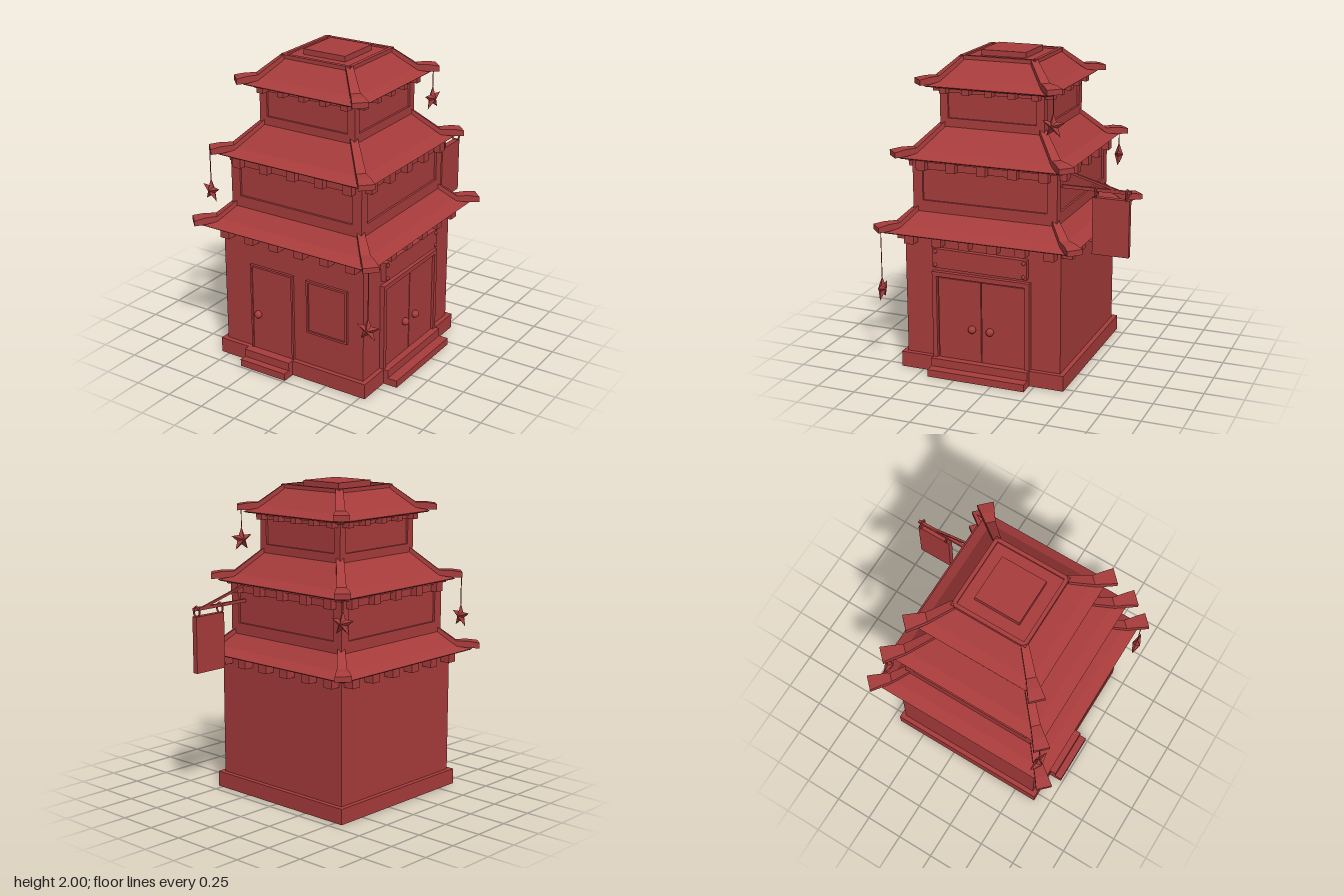
import * as THREE from 'three';

const mat = new THREE.MeshStandardMaterial({ color: 0xa83c3c, flatShading: true });
const smooth = new THREE.MeshStandardMaterial({ color: 0xa83c3c });

function add(parent, name, geo, x = 0, y = 0, z = 0, m = mat) {
  const mesh = new THREE.Mesh(geo, m);
  mesh.name = name;
  mesh.position.set(x, y, z);
  parent.add(mesh);
  return mesh;
}

// Box given by its min and max on each axis
function box(parent, name, x0, x1, y0, y1, z0, z1) {
  return add(parent, name, new THREE.BoxGeometry(x1 - x0, y1 - y0, z1 - z0),
    (x0 + x1) / 2, (y0 + y1) / 2, (z0 + z1) / 2);
}

function group(parent, name) {
  const g = new THREE.Group();
  g.name = name;
  parent.add(g);
  return g;
}

// Closed solid through rings of points, counter-clockwise seen from the far end
function loft(rings) {
  const n = rings[0].length, pos = [];
  const tri = (...p) => p.forEach(q => pos.push(...q));
  for (let k = 0; k < rings.length - 1; k++) {
    const a = rings[k], b = rings[k + 1];
    for (let i = 0; i < n; i++) {
      const j = (i + 1) % n;
      tri(a[i], a[j], b[j]);
      tri(a[i], b[j], b[i]);
    }
  }
  const s = rings[0], e = rings[rings.length - 1];
  for (let i = 1; i < n - 1; i++) {
    tri(s[0], s[i + 1], s[i]);
    tri(e[0], e[i], e[i + 1]);
  }
  const geo = new THREE.BufferGeometry();
  geo.setAttribute('position', new THREE.Float32BufferAttribute(pos, 3));
  geo.computeVertexNormals();
  return geo;
}

// Curved hip roof with four upturned corner ridges; profile is [half width, y] from eave to top
function roof(parent, profile) {
  const g = group(parent, 'roof');
  const [[e, y0], crease, top] = profile;
  const square = (h, y) => [[h, y, h], [h, y, -h], [-h, y, -h], [-h, y, h]];
  add(g, 'roofSlopes', loft([[e - 0.01, y0 - 0.008], [e, y0], crease, top].map(p => square(...p))));
  // [distance, bottom y, width, height]
  const path = [
    [top[0], top[1] - 0.02, 0.045, 0.032],
    [crease[0], crease[1] - 0.012, 0.06, 0.035],
    [e - 0.02, y0 + 0.012, 0.08, 0.045],
    [e + 0.028, y0 + 0.012, 0.1, 0.034],
  ];
  const ridge = loft(path.map(([d, y, w, h]) => {
    const s = w / 2 / Math.SQRT2;
    return [[d - s, y, d + s], [d + s, y, d - s], [d + s, y + h, d - s], [d - s, y + h, d + s]];
  }));
  for (let i = 0; i < 4; i++) add(g, 'cornerRidge', ridge).rotation.y = i * Math.PI / 2;
}

// Blocks and beam below an eave on all four sides
function brackets(parent, wall, outer, y0, y1, count, span, width) {
  const g = group(parent, 'eaveBrackets');
  box(g, 'eaveBeam', -wall - 0.02, wall + 0.02, y1 - 0.012, y1 + 0.01, -wall - 0.02, wall + 0.02);
  for (let s = 0; s < 4; s++) {
    const side = group(g, 'bracketRow');
    side.rotation.y = s * Math.PI / 2;
    for (let i = 0; i < count; i++) {
      const x = -span + 2 * span * i / (count - 1);
      box(side, 'bracket', x - width / 2, x + width / 2, y0, y1 + 0.01, wall - 0.03, outer);
    }
  }
}

// Upper storey: core with a shallow raised frame on each side
function storey(parent, h, y0, y1, frameLow, frameHigh, border) {
  const g = group(parent, 'upperStorey'), c = h - 0.014;
  box(g, 'wallCore', -c, c, y0, y1, -c, c);
  box(g, 'bottomRail', -h, h, y0, frameLow, -h, h);
  box(g, 'topRail', -h, h, frameHigh, y1, -h, h);
  for (const sx of [-1, 1]) for (const sz of [-1, 1]) {
    const m = h - border / 2;
    add(g, 'cornerPost', new THREE.BoxGeometry(border, frameHigh - frameLow, border),
      sx * m, (frameLow + frameHigh) / 2, sz * m);
  }
}

// Rectangular frame with a recessed panel, facing +z
function framedPanel(parent, name, x0, x1, y0, y1, z0, frameZ, panelZ, b, bottom = true) {
  const g = group(parent, name);
  box(g, 'frameSide', x0, x0 + b, y0, y1, z0, frameZ);
  box(g, 'frameSide', x1 - b, x1, y0, y1, z0, frameZ);
  box(g, 'frameTop', x0 + b, x1 - b, y1 - b, y1, z0, frameZ);
  if (bottom) box(g, 'frameBottom', x0 + b, x1 - b, y0, y0 + b, z0, frameZ);
  box(g, 'panel', x0 + b, x1 - b, y0, y1 - b, z0, panelZ);
  return g;
}

const knob = (parent, x, y, z) => add(parent, 'knob', new THREE.SphereGeometry(0.025, 16, 12), x, y, z, smooth);

// Faceted five-pointed star
function starGeometry(r, depth) {
  const pos = [], p = [];
  for (let i = 0; i < 10; i++) {
    const a = Math.PI / 2 + i * Math.PI / 5, q = i % 2 ? r * 0.42 : r;
    p.push([q * Math.cos(a), q * Math.sin(a), 0]);
  }
  for (let i = 0; i < 10; i++) {
    const a = p[i], b = p[(i + 1) % 10];
    pos.push(0, 0, depth, ...a, ...b, 0, 0, -depth, ...b, ...a);
  }
  const geo = new THREE.BufferGeometry();
  geo.setAttribute('position', new THREE.Float32BufferAttribute(pos, 3));
  geo.computeVertexNormals();
  return geo;
}

export function createModel() {
  const model = new THREE.Group();
  model.name = 'tieredShop';
  const b = group(model, 'building');
  b.position.set(-0.01, 0, 0.105);

  // Ground floor and plinth
  box(b, 'plinth', -0.545, 0.545, 0, 0.1, -0.545, 0.545);
  box(b, 'groundFloor', -0.514, 0.514, 0.1, 0.91, -0.514, 0.514);

  // Upper floors, eaves and roofs
  storey(b, 0.473, 0.95, 1.37, 1.1, 1.3, 0.065);
  storey(b, 0.341, 1.45, 1.81, 1.6, 1.76, 0.052);
  brackets(b, 0.514, 0.58, 0.84, 0.9, 6, 0.46, 0.065);
  brackets(b, 0.473, 0.517, 1.3, 1.36, 5, 0.4, 0.06);
  brackets(b, 0.341, 0.394, 1.76, 1.795, 5, 0.3, 0.045);
  roof(b, [[0.62, 0.91], [0.545, 0.945], [0.45, 1.055]]);
  roof(b, [[0.535, 1.372], [0.46, 1.407], [0.32, 1.57]]);
  roof(b, [[0.415, 1.805], [0.35, 1.84], [0.235, 1.965]]);

  // Rim and cap on the top roof
  for (let i = 0; i < 4; i++) {
    const side = group(b, 'topRim');
    side.rotation.y = i * Math.PI / 2;
    box(side, 'rimBar', -0.247, 0.222, 1.95, 1.976, 0.222, 0.247);
  }
  box(b, 'roofCap', -0.148, 0.148, 1.95, 2, -0.148, 0.148);

  // Front door, window and steps
  framedPanel(b, 'frontDoor', -0.31, 0.01, 0.1, 0.68, 0.5, 0.531, 0.524, 0.013, false);
  knob(b, -0.255, 0.345, 0.53);
  framedPanel(b, 'window', 0.11, 0.405, 0.325, 0.68, 0.5, 0.531, 0.52, 0.014);
  box(b, 'lowerStep', -0.33, 0.01, 0, 0.047, 0.5, 0.631);
  box(b, 'upperStep', -0.33, 0.01, 0.047, 0.1, 0.5, 0.584);

  // Double door and name board on the left side
  const side = group(b, 'sideEntrance');
  side.rotation.y = Math.PI / 2;
  framedPanel(side, 'doubleDoor', -0.325, 0.322, 0.1, 0.668, 0.5, 0.544, 0.52, 0.03, false);
  for (const s of [-1, 1]) {
    box(side, 'doorLeaf', s < 0 ? -0.287 : 0.003, s < 0 ? -0.003 : 0.287, 0.1, 0.628, 0.5, 0.53);
    knob(side, s * 0.06, 0.315, 0.54);
  }
  box(side, 'lowerStep', -0.325, 0.322, 0, 0.047, 0.5, 0.64);
  box(side, 'upperStep', -0.325, 0.322, 0.047, 0.1, 0.5, 0.576);
  const board = group(side, 'nameBoard');
  board.position.set(-0.005, 0.756, 0.53);
  board.rotation.z = -0.012;
  box(board, 'boardPlate', -0.312, 0.312, -0.062, 0.062, -0.02, 0.018);
  for (const x of [-0.292, 0.292]) for (const y of [-0.043, 0.043])
    add(board, 'boardBolt', new THREE.SphereGeometry(0.012, 10, 8), x, y, 0.018, smooth);

  // Hanging sign on a bracket at the back
  const sign = group(model, 'hangingSign');
  sign.position.x = 0.35;
  box(sign, 'signPlate', -0.018, 0.018, 0.85, 1.205, -0.785, -0.556);
  box(sign, 'signArm', -0.009, 0.009, 1.24, 1.26, -0.79, -0.36);
  const brace = box(sign, 'signBrace', -0.007, 0.007, -0.007, 0.007, -0.17, 0.17);
  brace.position.set(-0.002, 1.3, -0.545);
  brace.rotation.x = -0.27;
  for (const z of [-0.575, -0.765])
    add(sign, 'signRing', new THREE.TorusGeometry(0.026, 0.006, 6, 16), 0, 1.232, z, smooth).scale.y = 1.25;

  // Star pendants: x, y, z, string top, turn
  const star = starGeometry(0.08, 0.028);
  for (const [x, y, z, top, turn] of [
    [0.61, 0.54, 0.736, 0.935, 0.1],
    [0.413, 1.63, -0.323, 1.825, Math.PI / 2 - 0.15],
    [-0.55, 1.235, -0.43, 1.4, 0.15],
    [-0.58, 1.13, 0.66, 1.4, -0.2],
  ]) {
    const p = group(model, 'starPendant');
    p.position.set(x, y, z);
    add(p, 'star', star).rotation.y = turn;
    const len = top - y - 0.075;
    add(p, 'string', new THREE.CylinderGeometry(0.003, 0.003, len, 6), 0, 0.075 + len / 2, 0);
  }
  return model;
}
